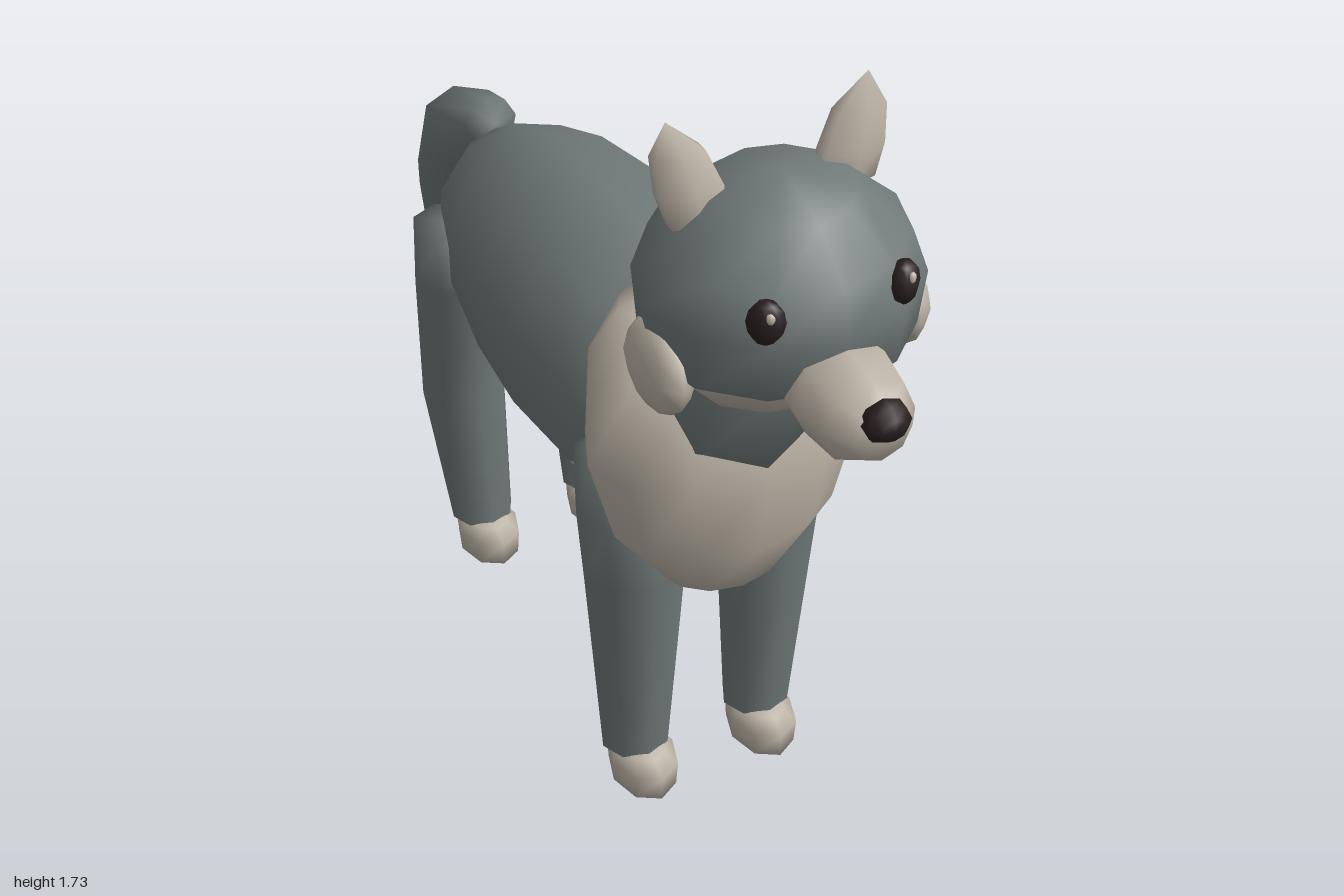
import * as THREE from 'three';

const mat = (name, color) => Object.assign(new THREE.MeshStandardMaterial({ color }), { name });

// Closed smooth skin through elliptical rings [x, y, z, radiusX, radiusB, tiltDegrees].
// Tilt 0 stacks rings along +y, tilt 90 along +z; a zero radius makes a pole.
function loft(rings, seg, isSecond = () => false) {
  const pos = [], rows = [];
  for (const [x, y, z, ra, rb, tilt = 0] of rings) {
    const t = THREE.MathUtils.degToRad(tilt), row = [];
    for (let j = 0; j < seg; j++) {
      if (ra === 0 && j > 0) { row.push(row[0]); continue; }
      const a = (j / seg) * Math.PI * 2, b = rb * Math.cos(a);
      row.push(pos.length / 3);
      pos.push(x + ra * Math.sin(a), y - b * Math.sin(t), z + b * Math.cos(t));
    }
    rows.push(row);
  }
  const lists = [[], []];
  const add = (a, b, c) => {
    if (a === b || b === c || a === c) return;
    const mid = k => (pos[a * 3 + k] + pos[b * 3 + k] + pos[c * 3 + k]) / 3;
    lists[isSecond(mid(0), mid(1), mid(2)) ? 1 : 0].push(a, b, c);
  };
  for (let i = 0; i < rows.length - 1; i++) {
    for (let j = 0; j < seg; j++) {
      const k = (j + 1) % seg;
      add(rows[i][j], rows[i][k], rows[i + 1][k]);
      add(rows[i][j], rows[i + 1][k], rows[i + 1][j]);
    }
  }
  const geo = new THREE.BufferGeometry();
  geo.setAttribute('position', new THREE.Float32BufferAttribute(pos, 3));
  geo.setIndex([...lists[0], ...lists[1]]);
  geo.addGroup(0, lists[0].length, 0);
  geo.addGroup(lists[0].length, lists[1].length, 1);
  geo.computeVertexNormals();
  return geo;
}

export function createModel() {
  const model = new THREE.Group();
  const grey = mat('grey fur', 0x707a79);
  const pale = mat('pale fur', 0xbdb4a7);
  const dark = mat('dark nose and eyes', 0x2a2021);

  const add = (name, geo, material) => {
    const m = new THREE.Mesh(geo, material);
    m.name = name;
    model.add(m);
    return m;
  };
  const skin = (name, rings, seg, main, second = main, test) =>
    add(name, loft(rings, seg, test), [main, second]);
  const ball = (name, material, p, s, ry = 0) => {
    const m = add(name, new THREE.SphereGeometry(1, 8, 6), material);
    m.position.set(...p);
    m.scale.set(...s);
    m.rotation.y = ry;
  };

  // Torso with a pale belly
  skin('torso', [
    [0, 0.91, -0.685, 0, 0, 90],
    [0, 0.905, -0.64, 0.1, 0.1, 90],
    [0, 0.9, -0.53, 0.185, 0.18, 90],
    [0, 0.9, -0.38, 0.23, 0.24, 90],
    [0, 0.9, -0.17, 0.262, 0.28, 90],
    [0, 0.9, 0.03, 0.272, 0.288, 90],
    [0, 0.9, 0.25, 0.252, 0.268, 90],
    [0, 0.9, 0.38, 0.18, 0.19, 90],
    [0, 0.9, 0.45, 0, 0, 90],
  ], 10, grey, pale, (x, y, z) => y < 0.832 || (z < -0.6 && y < 0.85));

  // Pale chest
  skin('chest', [
    [0, 0.55, 0.4, 0, 0],
    [0, 0.62, 0.42, 0.13, 0.105],
    [0, 0.76, 0.43, 0.23, 0.155],
    [0, 0.95, 0.425, 0.282, 0.18],
    [0, 1.12, 0.39, 0.258, 0.165],
    [0, 1.21, 0.33, 0.17, 0.085],
    [0, 1.24, 0.31, 0, 0],
  ], 12, pale);

  // Slanted neck
  skin('neck', [
    [0, 1.04, 0.425, 0, 0, 24],
    [0, 1.035, 0.43, 0.185, 0.182, 24],
    [0, 1.32, 0.54, 0.185, 0.165, 24],
    [0, 1.33, 0.545, 0, 0, 24],
  ], 8, grey);

  // Head with a pale lower face
  skin('head', [
    [0, 1.18, 0.59, 0, 0],
    [0, 1.215, 0.6, 0.165, 0.14],
    [0, 1.31, 0.605, 0.25, 0.225],
    [0, 1.42, 0.605, 0.26, 0.238],
    [0, 1.505, 0.603, 0.228, 0.216],
    [0, 1.585, 0.6, 0.135, 0.13],
    [0, 1.62, 0.6, 0, 0],
  ], 12, grey, pale, (x, y, z) => y < 1.3 && z > 0.6);

  // Muzzle and nose
  skin('muzzle', [
    [0, 1.31, 0.66, 0, 0, 90],
    [0, 1.31, 0.72, 0.085, 0.075, 90],
    [0, 1.315, 0.84, 0.102, 0.088, 90],
    [0, 1.31, 0.92, 0.088, 0.083, 90],
    [0, 1.315, 0.965, 0.055, 0.055, 90],
    [0, 1.32, 0.975, 0, 0, 90],
  ], 8, pale);
  skin('nose', [
    [0, 1.345, 0.93, 0, 0, 90],
    [0, 1.345, 0.955, 0.045, 0.038, 90],
    [0, 1.345, 0.98, 0.043, 0.036, 90],
    [0, 1.345, 0.998, 0.025, 0.02, 90],
    [0, 1.345, 1.0, 0, 0, 90],
  ], 8, dark);

  for (const [side, s] of [['left', 1], ['right', -1]]) {
    // Face details
    ball(`${side}Eye`, dark, [s * 0.13, 1.47, 0.792], [0.034, 0.043, 0.028], s * 0.55);
    ball(`${side}EyeGlint`, pale, [s * 0.134, 1.489, 0.812], [0.009, 0.011, 0.007], s * 0.55);
    ball(`${side}Cheek`, pale, [s * 0.232, 1.297, 0.613], [0.05, 0.09, 0.097]);
    skin(`${side}Ear`, [
      [s * 0.14, 1.53, 0.57, 0, 0],
      [s * 0.145, 1.54, 0.57, 0.058, 0.026],
      [s * 0.155, 1.6, 0.562, 0.068, 0.032],
      [s * 0.173, 1.67, 0.553, 0.054, 0.026],
      [s * 0.192, 1.73, 0.545, 0, 0],
    ], 6, pale);

    // Legs
    skin(`${side}FrontLeg`, [
      [s * 0.14, 0.1, 0.345, 0, 0],
      [s * 0.142, 0.11, 0.345, 0.074, 0.066],
      [s * 0.146, 0.6, 0.347, 0.11, 0.094],
      [s * 0.16, 0.77, 0.345, 0.11, 0.1],
      [s * 0.2, 0.9, 0.33, 0.066, 0.045],
      [s * 0.2, 0.905, 0.33, 0, 0],
    ], 8, grey);
    skin(`${side}HindLeg`, [
      [s * 0.14, 0.1, -0.46, 0, 0],
      [s * 0.14, 0.11, -0.46, 0.072, 0.064],
      [s * 0.15, 0.45, -0.515, 0.098, 0.087],
      [s * 0.16, 0.79, -0.475, 0.105, 0.108],
      [s * 0.175, 0.9, -0.48, 0.085, 0.092],
      [s * 0.175, 0.91, -0.48, 0, 0],
    ], 8, grey);

    // Paws
    for (const [end, z] of [['Front', 0.375], ['Hind', -0.432]]) {
      skin(`${side}${end}Paw`, [
        [s * 0.14, 0, z, 0, 0],
        [s * 0.14, 0.033, z, 0.066, 0.092],
        [s * 0.14, 0.09, z, 0.07, 0.095],
        [s * 0.14, 0.112, z, 0.045, 0.06],
        [s * 0.14, 0.118, z, 0, 0],
      ], 8, pale);
    }
  }

  // Drooping tail with a pale tip
  skin('tail', [
    [0, 0.518, -0.95, 0, 0, 5],
    [0, 0.535, -0.952, 0.035, 0.035, 5],
    [0, 0.57, -0.95, 0.052, 0.049, 8],
    [0, 0.74, -0.897, 0.085, 0.1, 12],
    [0, 0.925, -0.795, 0.108, 0.1, 40],
    [0, 1.015, -0.66, 0.06, 0.052, 65],
    [0, 1.015, -0.64, 0, 0, 65],
  ], 8, grey, pale, (x, y) => y < 0.565);

  return model;
}
